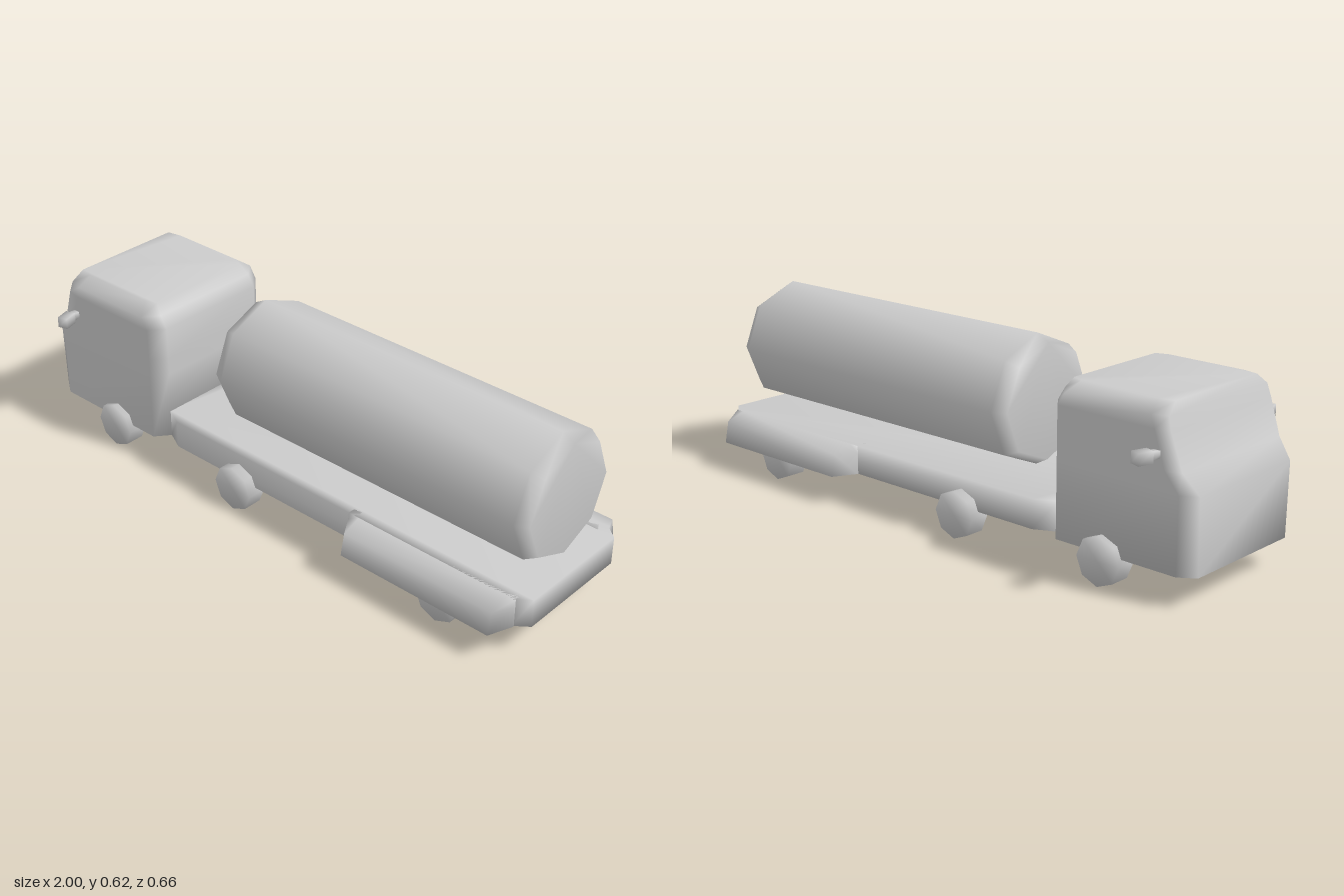
import * as THREE from 'three';
import { mergeVertices } from 'three/addons/utils/BufferGeometryUtils.js';

const material = new THREE.MeshStandardMaterial({ color: 0xcccccc });

function add(group, name, geometry) {
  const mesh = new THREE.Mesh(geometry, material);
  mesh.name = name;
  group.add(mesh);
  return mesh;
}

// Share corners so the shading runs smoothly over the edges
function soften(geometry) {
  geometry.deleteAttribute('normal');
  geometry.deleteAttribute('uv');
  const merged = mergeVertices(geometry, 1e-4);
  merged.computeVertexNormals();
  return merged;
}

// Closed solid through a list of rings; faces always point outwards
function loft(rings) {
  const n = rings[0].length;
  const points = rings.flat().map((p) => new THREE.Vector3(...p));
  const index = [];
  for (let r = 0; r < rings.length - 1; r++) {
    for (let i = 0; i < n; i++) {
      const a = r * n + i, b = r * n + (i + 1) % n;
      index.push(a, b, b + n, a, b + n, a + n);
    }
  }
  const last = (rings.length - 1) * n;
  for (let i = 1; i < n - 1; i++) {
    index.push(0, i + 1, i, last, last + i, last + i + 1);
  }
  let volume = 0;
  for (let i = 0; i < index.length; i += 3) {
    const [a, b, c] = [points[index[i]], points[index[i + 1]], points[index[i + 2]]];
    volume += a.dot(b.clone().cross(c));
  }
  if (volume < 0) index.reverse();
  const geometry = new THREE.BufferGeometry().setFromPoints(points);
  geometry.setIndex(index);
  geometry.computeVertexNormals();
  return geometry;
}

// Horizontal rectangle with cut corners: x0 is the cab end, x1 the tail
function cutRect(y, x0, x1, w, cx0, cx1, w0, w1) {
  const half = [[x0, w0], [x0 + cx0, w], [x1 - cx1, w], [x1, w1]];
  const other = half.map(([x, z]) => [x, -z]).reverse();
  return [...half, ...other].map(([x, z]) => [x, y, z]);
}

export function createModel() {
  const truck = new THREE.Group();
  truck.name = 'tankTruck';

  // Cab: y, nose x, back x, half width, nose half width, back half width
  const levels = [
    [0.095, -1, -0.48, 0.25, 0.215, 0.2],
    [0.33, -1, -0.48, 0.25, 0.22, 0.2],
    [0.39, -0.95, -0.48, 0.25, 0.235, 0.2],
    [0.5, -0.912, -0.48, 0.25, 0.24, 0.2],
    [0.54, -0.9, -0.505, 0.25, 0.235, 0.2],
    [0.573, -0.89, -0.53, 0.205, 0.195, 0.19],
  ];
  add(truck, 'cab', loft(levels.map(([y, x0, x1, w, w0, w1]) =>
    cutRect(y, x0, x1, w, 0.05, 0.04, w0, w1))));

  // Flat bed
  add(truck, 'chassis', loft([0.095, 0.19].map((y) =>
    cutRect(y, -0.485, 1, 0.235, 0.07, 0.045, 0.2, 0.2))));

  // Rear fenders
  const fenderEnds = [[0.34, 0], [0.38, 1], [0.93, 1], [0.96, 0]];
  for (const s of [1, -1]) {
    add(truck, s > 0 ? 'fenderLeft' : 'fenderRight', loft(fenderEnds.map(([x, k]) => [
      [x, 0.095, s * 0.2],
      [x, 0.095, s * (0.238 + 0.078 * k)],
      [x, 0.167, s * (0.238 + 0.063 * k)],
      [x, 0.19, s * 0.235],
      [x, 0.19, s * 0.2],
    ])));
  }

  // Eight-sided tank with bevelled ends
  const tankSections = [[-0.27, 0.186], [-0.225, 0.21], [0.917, 0.21], [0.957, 0.186]];
  add(truck, 'tank', loft(tankSections.map(([x, r]) =>
    Array.from({ length: 8 }, (_, i) => {
      const a = (i * Math.PI) / 4;
      return [x, 0.41 + r * Math.cos(a), r * Math.sin(a)];
    }))));

  // Three pairs of wheels
  const wheelGeometry = soften(
    new THREE.CylinderGeometry(0.077, 0.077, 0.068, 8).rotateX(Math.PI / 2));
  for (const x of [-0.692, -0.127, 0.71]) {
    for (const s of [1, -1]) {
      add(truck, 'wheel', wheelGeometry).position.set(x, 0.077, s * 0.236);
    }
  }

  // Wing mirrors: tapered arm and angled head
  for (const s of [1, -1]) {
    const mirror = new THREE.Group();
    mirror.name = 'mirror';
    const arm = [[0.235, 0.009, -0.875], [0.276, 0.013, -0.87]];
    add(mirror, 'mirrorArm', loft(arm.map(([z, h, x]) => [
      [x - 0.012, 0.433 - h, s * z], [x + 0.012, 0.433 - h, s * z],
      [x + 0.012, 0.433 + h, s * z], [x - 0.012, 0.433 + h, s * z],
    ])));
    const head = add(mirror, 'mirrorHead', soften(new THREE.BoxGeometry(0.035, 0.036, 0.05)));
    head.position.set(-0.864, 0.433, s * 0.302);
    head.rotation.y = s * 0.3;
    truck.add(mirror);
  }

  return truck;
}
